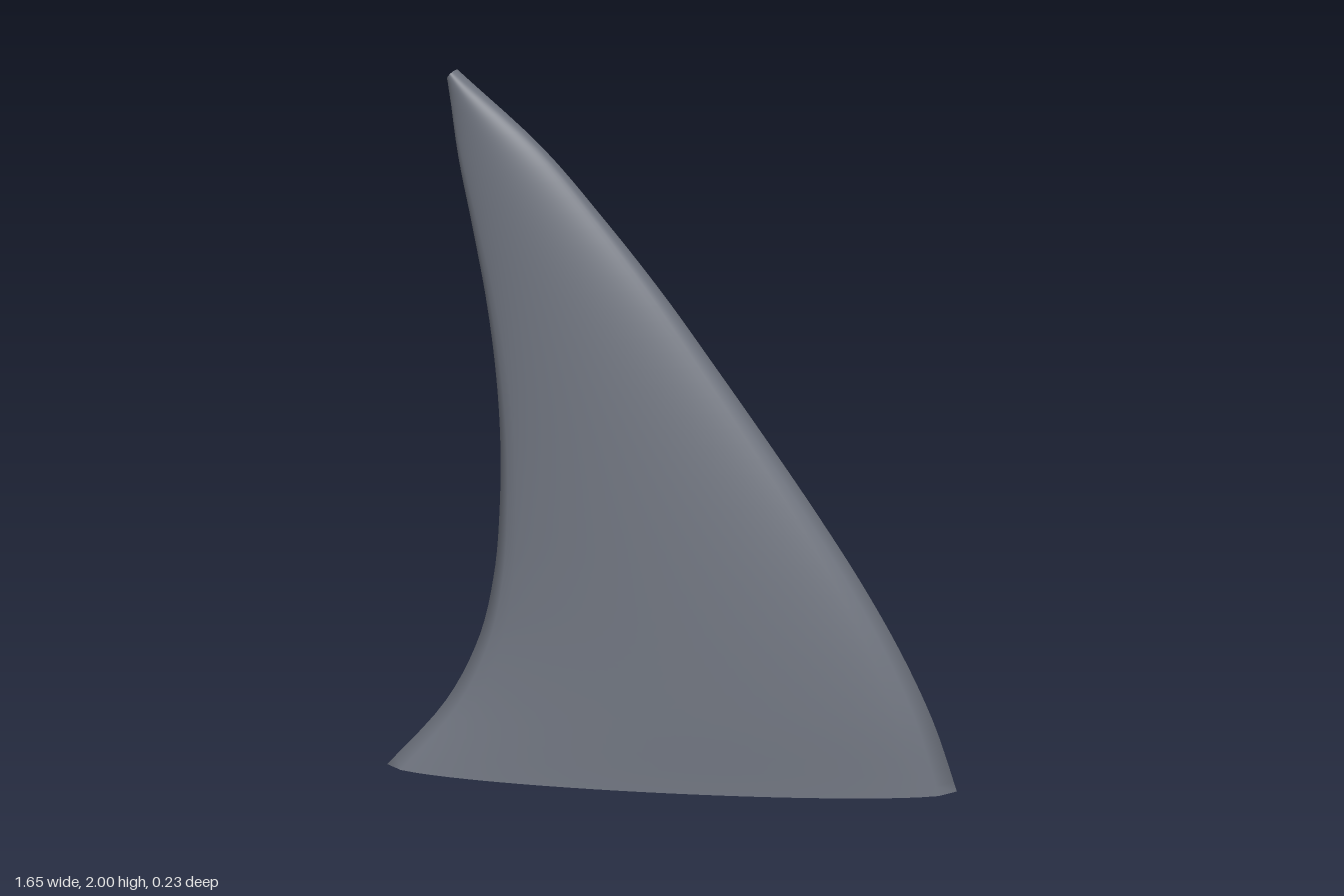
import * as THREE from 'three';

// Edge positions (x) at eleven evenly spaced heights, root to tip
const LEADING = [0.825, 0.755, 0.66, 0.545, 0.415, 0.277, 0.135, -0.01, -0.17, -0.345, -0.57];
const TRAILING = [-0.825, -0.65, -0.545, -0.495, -0.475, -0.47, -0.48, -0.503, -0.537, -0.573, -0.595];
const ROWS = 48;
const STEPS = 32; // steps along the chord, per side

const edgeCurve = (xs, height) =>
  new THREE.SplineCurve(xs.map((x, i) => new THREE.Vector2(x, (height * i) / (xs.length - 1))));

function createGeometry(positions, indices) {
  const geometry = new THREE.BufferGeometry();
  geometry.setAttribute('position', new THREE.Float32BufferAttribute(positions, 3));
  geometry.setIndex(indices);
  geometry.computeVertexNormals();
  return geometry;
}

export function createModel() {
  const finGrey = new THREE.MeshStandardMaterial({ color: 0x6f747f, side: THREE.DoubleSide });
  finGrey.name = 'finGrey';

  const leading = edgeCurve(LEADING, 2);
  const trailing = edgeCurve(TRAILING, 1.975);
  const ring = STEPS * 2;

  // One elliptical section: along the front face, then back along the rear face
  function section(t) {
    const a = trailing.getPoint(t);
    const b = leading.getPoint(t);
    const halfThickness = THREE.MathUtils.lerp(0.115, 0.036, t);
    const points = [];
    for (let j = 0; j < ring; j++) {
      const front = j <= STEPS;
      const s = (front ? j : ring - j) / STEPS;
      const u = 2 * s - 1;
      const z = halfThickness * Math.sqrt(Math.max(0, 1 - u * u)) * (front ? 1 : -1);
      points.push(THREE.MathUtils.lerp(a.x, b.x, s), THREE.MathUtils.lerp(a.y, b.y, s), z);
    }
    return points;
  }

  // Lofted blade, open at the root
  const positions = [];
  const indices = [];
  for (let i = 0; i <= ROWS; i++) {
    positions.push(...section(i / ROWS));
    if (i === ROWS) break;
    for (let j = 0; j < ring; j++) {
      const a = i * ring + j;
      const b = i * ring + ((j + 1) % ring);
      indices.push(a, b, a + ring, b, b + ring, a + ring);
    }
  }
  const blade = new THREE.Mesh(createGeometry(positions, indices), finGrey);
  blade.name = 'finBlade';

  // Small slanted cap closing the tip
  const capIndices = [];
  for (let j = 1; j < ring - 1; j++) capIndices.push(0, j, j + 1);
  const cap = new THREE.Mesh(createGeometry(section(1), capIndices), finGrey);
  cap.name = 'finTip';

  const fin = new THREE.Group();
  fin.name = 'fin';
  fin.add(blade, cap);
  return fin;
}
